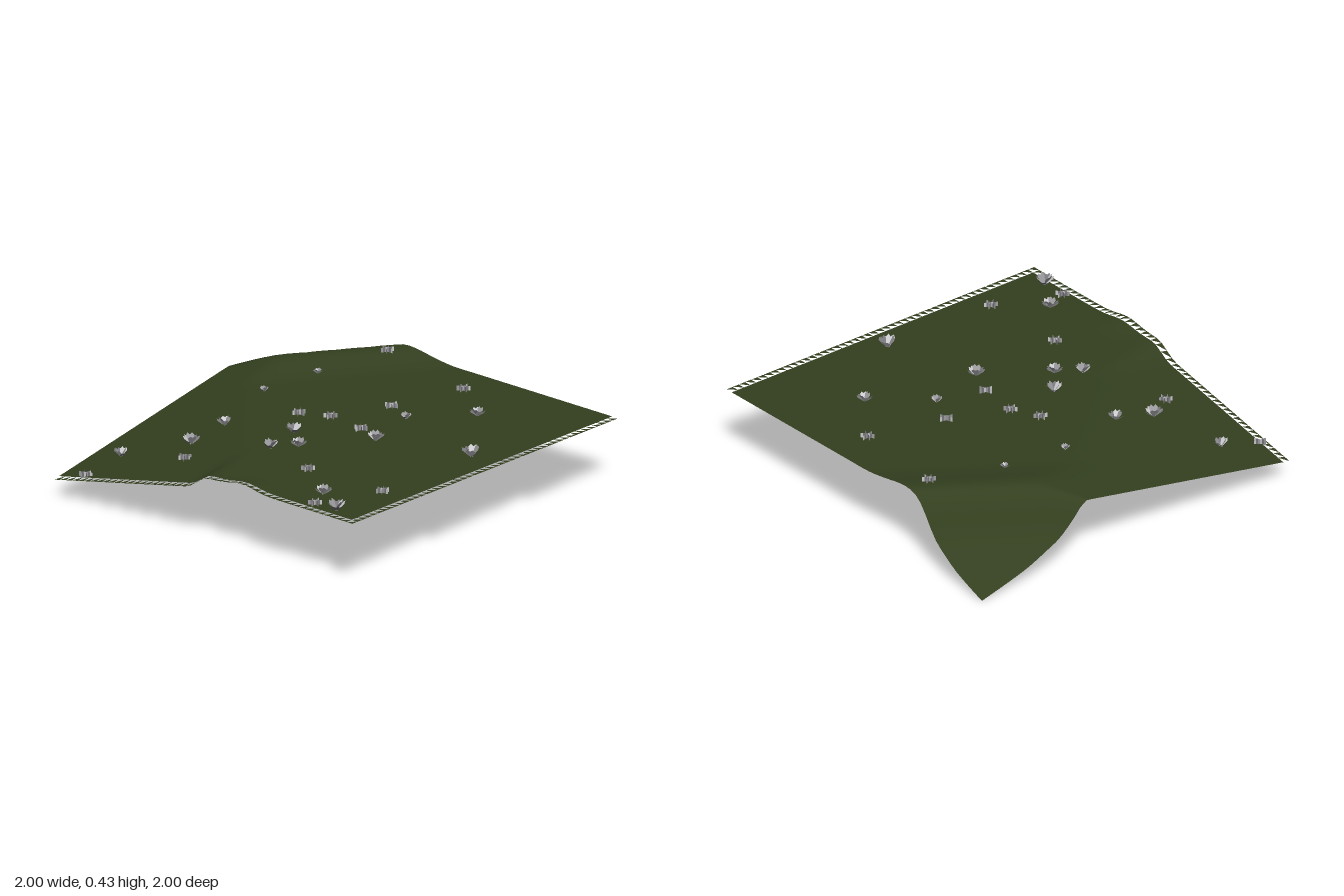
import * as THREE from 'three';

const mat = (name, color) => {
  const m = new THREE.MeshStandardMaterial({ color, side: THREE.DoubleSide });
  m.name = name;
  return m;
};

// Height profile running from the low back corner over the ridge to the plateau
const ridge = new THREE.CubicInterpolant(
  [0, 0.27, 0.4, 0.53, 0.6, 0.667, 0.8, 0.88, 1, 1.1, 1.25, 1.45, 1.7, 2],
  [0, 0.055, 0.086, 0.128, 0.153, 0.178, 0.265, 0.33, 0.388, 0.402, 0.4, 0.383, 0.367, 0.366], 1);

// Minimum of two heights with a rounded crease
function softMin(a, b, k = 0.02) {
  const t = Math.max(k - Math.abs(a - b), 0) / k;
  return Math.min(a, b) - t * t * k / 4;
}

function height(x, z) {
  const q = Math.min((x + 1) / 0.52 + (z + 1) / 0.75, 2);
  const cliff = ridge.evaluate(q)[0];
  // evenly sloping side that falls to the front right corner
  const slope = 0.1 + 0.21 * (x + 1) + 0.18 * (1 - z)
    + 0.06 * THREE.MathUtils.smoothstep(x, -0.12, 0.06);
  // small swell on the front edge
  const swell = 0.026 * Math.exp(-(((x - 0.26) / 0.11) ** 2) - ((z - 1) / 0.1) ** 2);
  return softMin(cliff, slope) + swell;
}

// Square height field whose last row and column keep one triangle per cell
function terrainGeometry(n = 50) {
  const pos = [], index = [];
  for (let j = 0; j <= n; j++) {
    for (let i = 0; i <= n; i++) {
      const x = -1 + 2 * i / n, z = -1 + 2 * j / n;
      pos.push(x, height(x, z), z);
    }
  }
  for (let j = 0; j < n; j++) {
    for (let i = 0; i < n; i++) {
      const a = j * (n + 1) + i, b = a + 1, c = a + n + 1, d = c + 1;
      index.push(b, c, d);
      if (i < n - 1 && j < n - 1) index.push(a, c, b);
    }
  }
  const g = new THREE.BufferGeometry();
  g.setAttribute('position', new THREE.Float32BufferAttribute(pos, 3));
  g.setIndex(index);
  g.computeVertexNormals();
  return g;
}

// Leaf that starts narrow at the origin and widens upwards to a ragged end
function leafGeometry() {
  const s = new THREE.Shape();
  s.moveTo(-0.1, 0);
  s.lineTo(0.1, 0);
  s.lineTo(0.38, 0.75);
  s.lineTo(0.2, 1);
  s.lineTo(0, 0.82);
  s.lineTo(-0.2, 1);
  s.lineTo(-0.38, 0.75);
  return new THREE.ShapeGeometry(s);
}

// Upright card divided into narrow blades of alternating colours
function cardGeometry(blades = 6) {
  const g = new THREE.PlaneGeometry(1, 1, blades, 1);
  g.translate(0, 0.5, 0);
  for (let i = 0; i < blades; i++) g.addGroup(i * 6, 6, (i * 2) % 3);
  return g;
}

export function createModel() {
  const model = new THREE.Group();
  const grass = mat('grass green', 0x333f1f);
  const greys = [mat('mid grey', 0x9c9ca0), mat('light grey', 0xcacace), mat('dark grey', 0x77777b)];

  const ground = new THREE.Mesh(terrainGeometry(), grass);
  ground.name = 'ground';
  model.add(ground);

  // Open leafy plants: x, z, size
  const plants = [
    [0.46, -0.55, 0.05], [0.22, -0.28, 0.04], [0.82, -0.1, 0.068], [0.31, 0.05, 0.056],
    [-0.07, 0.24, 0.06], [0.08, 0.37, 0.052], [-0.01, 0.48, 0.054], [-0.45, 0.33, 0.052],
    [-0.48, 0.55, 0.06], [-0.8, 0.72, 0.054], [0.62, 0.79, 0.054], [0.82, 0.92, 0.066],
    [-0.53, -0.46, 0.03], [-0.57, -0.1, 0.032],
  ];
  const leaf = leafGeometry();
  plants.forEach(([x, z, size], k) => {
    const plant = new THREE.Group();
    plant.name = 'leafyPlant';
    for (let i = 0; i < 6; i++) {
      const blade = new THREE.Mesh(leaf, greys[i % 3]);
      blade.name = 'leaf';
      blade.rotation.set(0.55 + 0.2 * (i % 3), k * 1.3 + i * Math.PI / 3, 0, 'YXZ');
      blade.scale.setScalar(size);
      plant.add(blade);
    }
    plant.position.set(x, height(x, z) + 0.004, z);
    model.add(plant);
  });

  // Low tufts of crossed upright cards: x, z
  const tufts = [
    [-0.43, -0.87], [0.16, -0.78], [0.05, -0.36], [-0.23, 0.02], [-0.08, -0.05], [0.15, -0.02],
    [-0.38, 0.71], [0.33, 0.58], [-0.83, 0.95], [0.82, 0.57], [0.68, 0.92],
  ];
  const card = cardGeometry();
  tufts.forEach(([x, z], k) => {
    const tuft = new THREE.Group();
    tuft.name = 'grassTuft';
    for (let i = 0; i < 3; i++) {
      const blades = new THREE.Mesh(card, greys);
      blades.name = 'blades';
      blades.rotation.y = k * 0.7 + i * Math.PI / 3;
      blades.scale.set(0.07, 0.025, 1);
      tuft.add(blades);
    }
    tuft.position.set(x, height(x, z), z);
    model.add(tuft);
  });

  return model;
}
